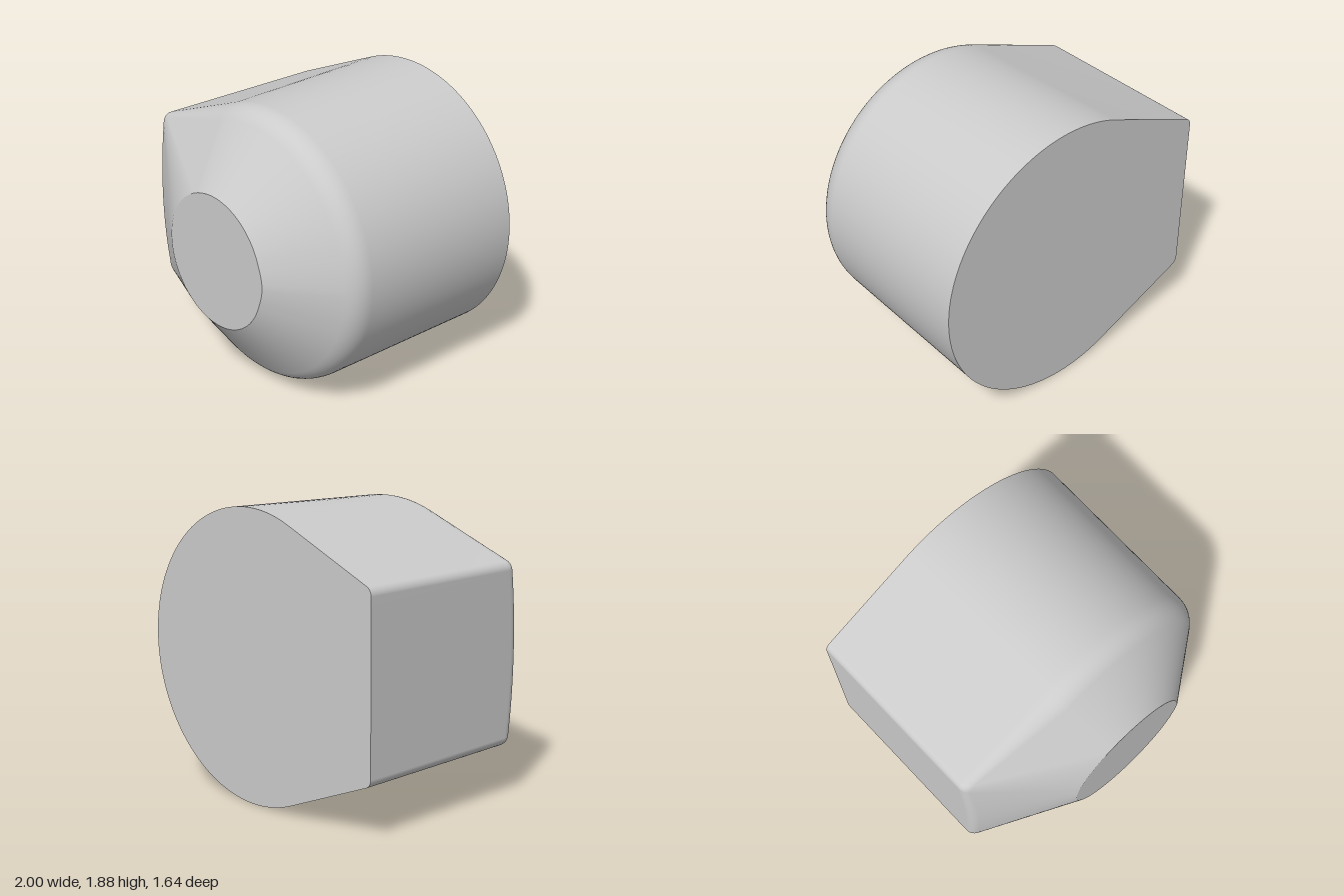
import * as THREE from 'three';

const CY = 0.942;          // height of the centre line
const BACK = -0.82, FRONT = 0.82;

// Upper half of the outline (around y = 0): big arc, tangent line, small corner arc, flat side.
// a: matching angle on the front disc, z: height of the shoulder edge, f: fillet size.
function halfOutline(R, r) {
  const c0 = new THREE.Vector2(0.055, 0), c1 = new THREE.Vector2(-1 + r, 0.535);
  const d = c1.clone().sub(c0);
  const tangent = d.angle() + -Math.acos((R - r) / d.length());
  const pts = [];
  for (let i = 0; i <= 48; i++) {
    const a = tangent * i / 48;
    pts.push({ x: c0.x + R * Math.cos(a), y: R * Math.sin(a), a, z: 0.47, f: 0.1 });
  }
  for (let i = 0; i <= 12; i++) {
    const t = i / 12, a = THREE.MathUtils.lerp(tangent, Math.PI, t);
    pts.push({
      x: c1.x + r * Math.cos(a), y: c1.y + r * Math.sin(a),
      a: THREE.MathUtils.lerp(tangent, 2.97, t), z: 0.43, f: 0.05,
    });
  }
  for (let i = 1; i <= 8; i++) {
    const t = i / 8;
    pts.push({
      x: -1, y: c1.y * (1 - t), a: THREE.MathUtils.lerp(2.97, Math.PI, t),
      z: 0.43 + 0.036 * (1 - (1 - t) ** 2), f: 0.05,
    });
  }
  return pts;
}

// Mirrors the half outline into a closed loop
function outline(R, r) {
  const half = halfOutline(R, r);
  const lower = half.slice(1, -1).reverse().map(p => ({ ...p, y: -p.y, a: -p.a }));
  return [...half, ...lower];
}

// Front disc, drawn out to a slight point at +x
function discPoint(a) {
  const rad = 0.445 + 0.012 * Math.max(0, 1 - Math.abs(a) / 0.3);
  return new THREE.Vector3(0.03 + rad * Math.cos(a), CY + rad * Math.sin(a), FRONT);
}

// Smooth skin through a list of closed rings running from back to front
function loft(rings) {
  const n = rings[0].length, index = [];
  for (let r = 0; r < rings.length - 1; r++) {
    for (let i = 0; i < n; i++) {
      const j = (i + 1) % n;
      const a = r * n + i, b = r * n + j, c = b + n, d = a + n;
      index.push(a, b, d, b, c, d);
    }
  }
  const geo = new THREE.BufferGeometry().setFromPoints(rings.flat());
  geo.setIndex(index);
  geo.computeVertexNormals();
  return geo;
}

export function createModel() {
  const group = new THREE.Group();
  const material = new THREE.MeshStandardMaterial({ color: 0xcccccc });
  const add = (name, geo) => {
    const mesh = new THREE.Mesh(geo, material);
    mesh.name = name;
    group.add(mesh);
    return mesh;
  };

  const base = outline(0.94, 0.06);
  const shoulder = outline(0.913, 0.06);
  const backRing = base.map(p => new THREE.Vector3(p.x, p.y + CY, BACK));
  const frontRing = shoulder.map(p => discPoint(p.a));

  // Side wall: slightly tapered from the back to the shoulder fillet
  const curves = shoulder.map((p, i) => {
    const edge = new THREE.Vector3(p.x, p.y + CY, p.z);
    const towards = (q) => edge.clone().add(q.clone().sub(edge).setLength(p.f));
    return new THREE.QuadraticBezierCurve3(towards(backRing[i]), edge, towards(frontRing[i]));
  });
  const fillet = [];
  for (let k = 0; k <= 8; k++) fillet.push(curves.map(c => c.getPoint(k / 8)));

  // Body: wall, rounded shoulder and sloping nose as one skin
  add('body', loft([backRing, ...fillet, frontRing]));

  // Flat end faces
  const face = (ring, sx) => new THREE.ShapeGeometry(
    new THREE.Shape(ring.map(p => new THREE.Vector2(p.x * sx, p.y))));
  const disc = [];
  for (let i = 0; i < 128; i++) disc.push(discPoint((i / 64 - 1) * Math.PI));
  add('frontFace', face(disc, 1)).position.z = FRONT;
  const back = add('backFace', face(backRing, -1));
  back.rotation.y = Math.PI;
  back.position.z = BACK;

  return group;
}
